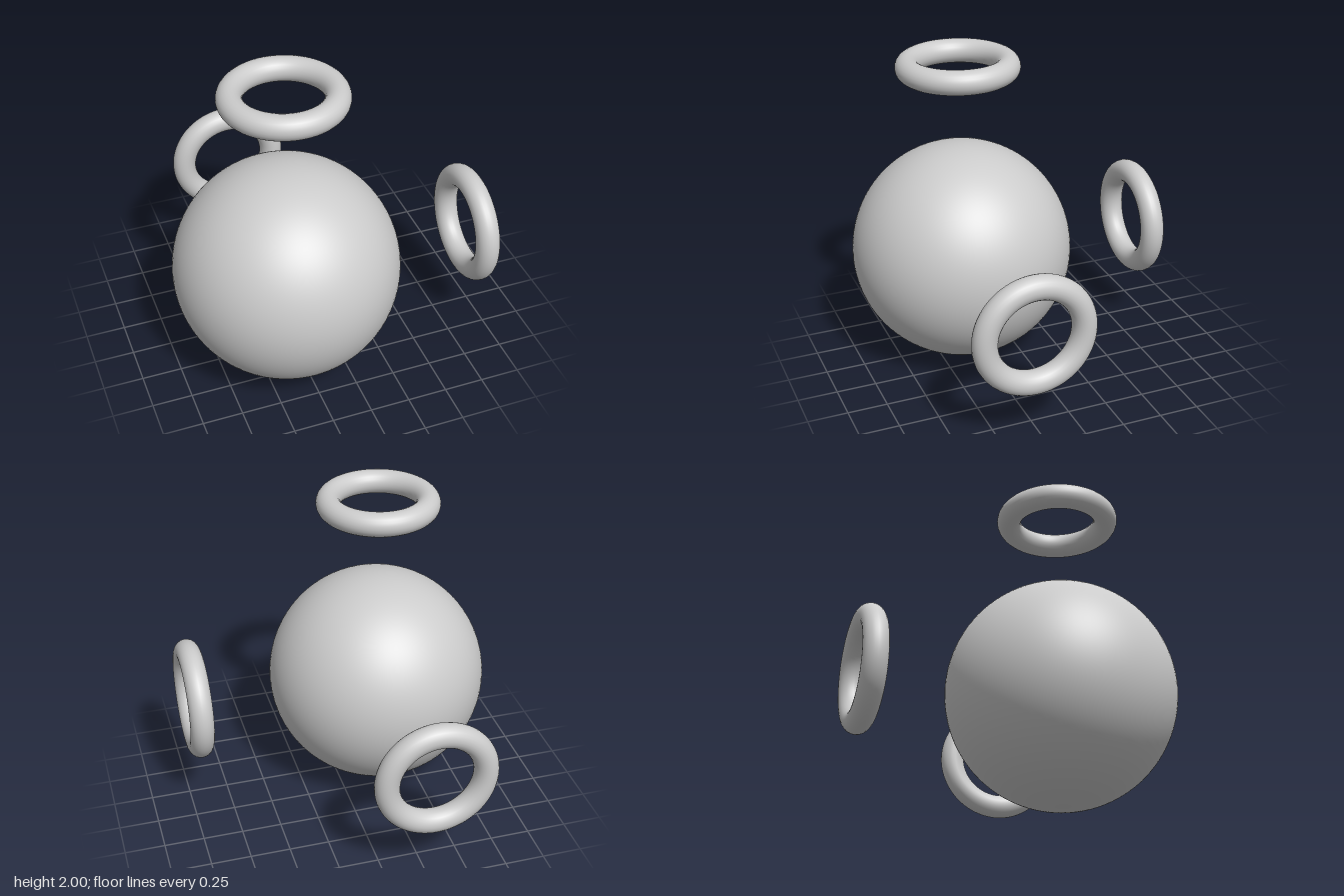
import * as THREE from 'three';

export function createModel() {
  const group = new THREE.Group();
  const material = new THREE.MeshStandardMaterial({ color: 0xcccccc });
  const center = new THREE.Vector3(-0.298, 0.702, 0.298);
  const ringDistance = 1.222;

  // Central ball
  const ball = new THREE.Mesh(new THREE.SphereGeometry(0.702, 96, 64), material);
  ball.name = 'ball';
  ball.position.copy(center);
  group.add(ball);

  // Three identical rings, each facing the ball along one axis
  const ringGeometry = new THREE.TorusGeometry(0.308, 0.076, 24, 96);
  const ringAxis = new THREE.Vector3(0, 0, 1);
  const directions = {
    topRing: new THREE.Vector3(0, 1, 0),
    leftRing: new THREE.Vector3(1, 0, 0),
    backRing: new THREE.Vector3(0, 0, -1),
  };
  for (const [name, direction] of Object.entries(directions)) {
    const ring = new THREE.Mesh(ringGeometry, material);
    ring.name = name;
    ring.position.copy(center).addScaledVector(direction, ringDistance);
    ring.quaternion.setFromUnitVectors(ringAxis, direction);
    group.add(ring);
  }

  return group;
}
